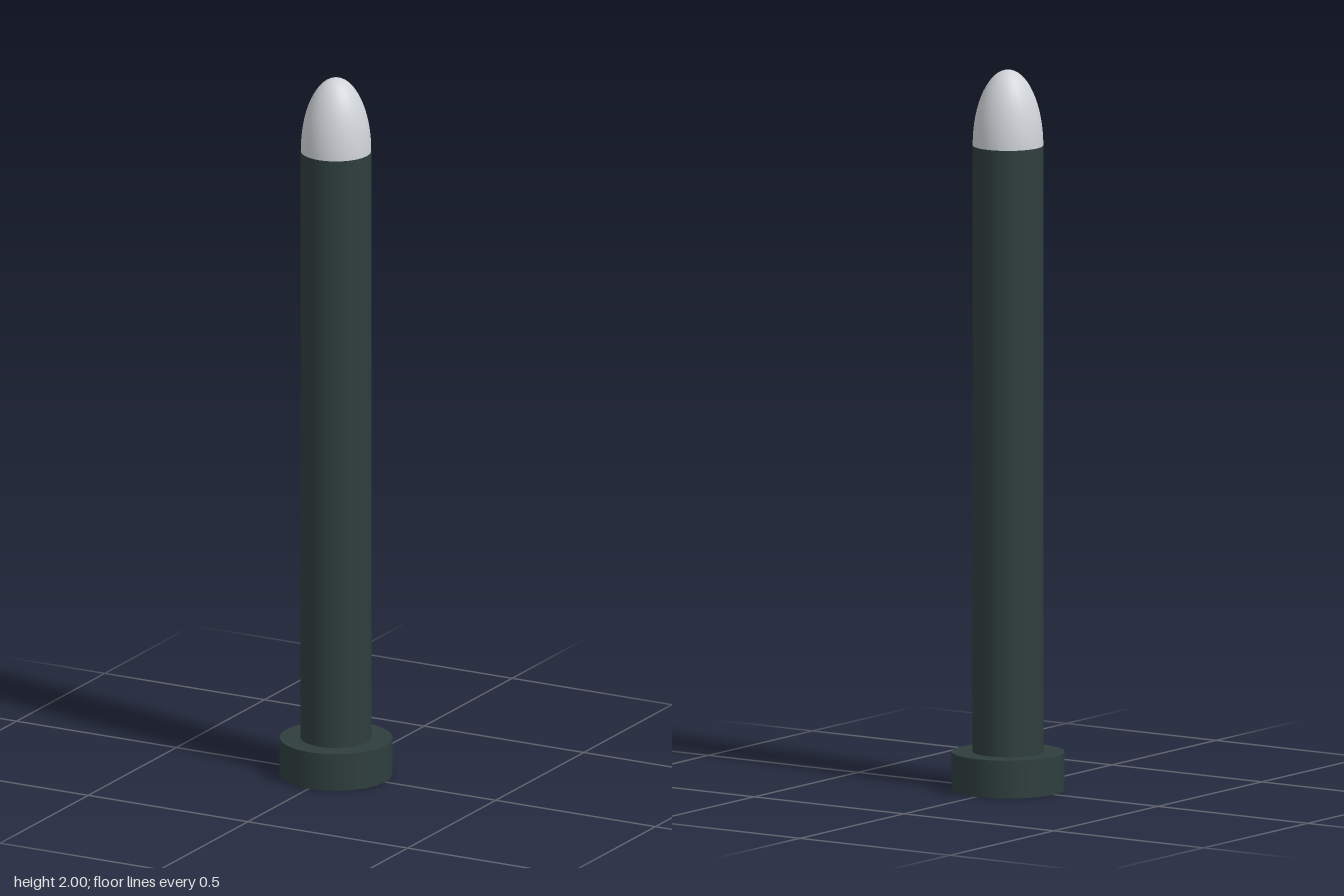
import * as THREE from 'three';

export function createModel() {
  const group = new THREE.Group();
  const darkGreen = new THREE.MeshStandardMaterial({ name: 'dark green paint', color: 0x2f3e3e });
  const lightGrey = new THREE.MeshStandardMaterial({ name: 'light grey metal', color: 0xd0d4d9 });

  const baseHeight = 0.105, postTop = 1.79, postRadius = 0.097;

  const add = (name, geometry, material, y) => {
    const mesh = new THREE.Mesh(geometry, material);
    mesh.name = name;
    mesh.position.y = y;
    group.add(mesh);
    return mesh;
  };

  // Wide foot
  add('base', new THREE.CylinderGeometry(0.155, 0.155, baseHeight, 24), darkGreen, baseHeight / 2);

  // Tall round post
  const postHeight = postTop - baseHeight;
  add('post', new THREE.CylinderGeometry(postRadius, postRadius, postHeight, 32), darkGreen, baseHeight + postHeight / 2);

  // Stretched half-sphere cap
  const dome = new THREE.SphereGeometry(postRadius, 32, 16, 0, Math.PI * 2, 0, Math.PI / 2);
  dome.scale(1, (2 - postTop) / postRadius, 1);
  add('domeCap', dome, lightGrey, postTop);

  return group;
}
